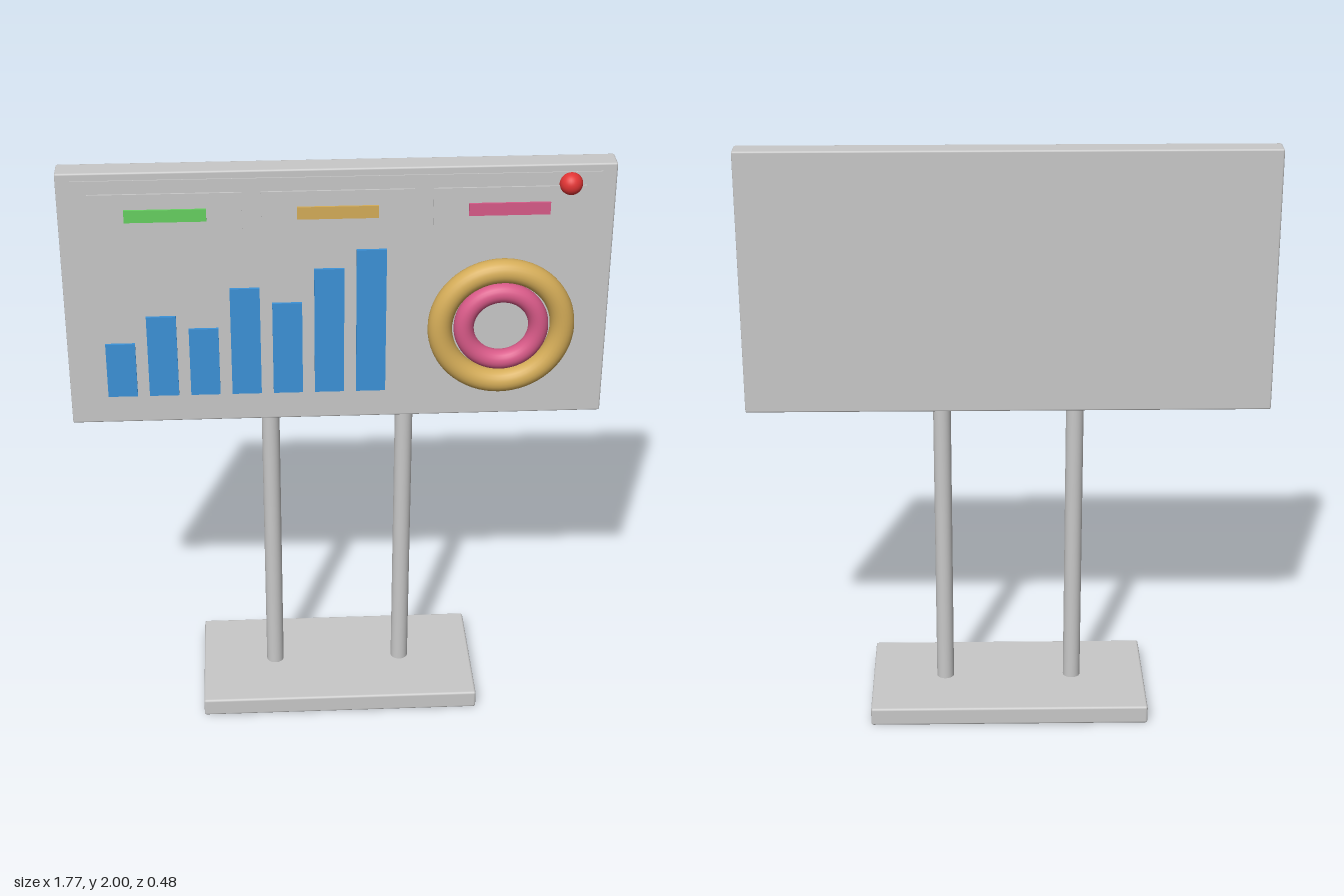
import * as THREE from 'three';
import { RoundedBoxGeometry } from 'three/addons/geometries/RoundedBoxGeometry.js';

export function createModel() {
  const model = new THREE.Group();
  model.name = 'dashboardStand';

  const material = (name, color) => {
    const m = new THREE.MeshStandardMaterial({ color });
    m.name = name;
    return m;
  };
  const grey = material('lightGrey', 0xc8c8c8);
  const blue = material('blue', 0x3c92d8);
  const green = material('green', 0x66d060);
  const gold = material('gold', 0xd4ac58);
  const pink = material('pink', 0xd85a88);
  const red = material('red', 0xe03434);

  const add = (name, geometry, mat, x, y, z) => {
    const mesh = new THREE.Mesh(geometry, mat);
    mesh.name = name;
    mesh.position.set(x, y, z);
    model.add(mesh);
    return mesh;
  };
  // Flat plate given its bottom edge and its back and front depth
  const plate = (name, mat, x, bottom, w, h, back, front) =>
    add(name, new THREE.BoxGeometry(w, h, front - back), mat, x, bottom + h / 2, (back + front) / 2);

  // Stand
  add('base', new RoundedBoxGeometry(0.964, 0.065, 0.48, 2, 0.008), grey, 0, 0.0325, 0);
  for (const side of [-1, 1]) {
    add(side < 0 ? 'rightPost' : 'leftPost',
      new THREE.CylinderGeometry(0.03, 0.03, 1.07, 32), grey, side * 0.225, 0.585, 0);
  }

  // Display board and its screen
  add('board', new RoundedBoxGeometry(1.77, 0.9, 0.08, 2, 0.006), grey, 0, 1.55, 0);
  plate('screen', grey, 0, 1.13, 1.676, 0.845, 0.036, 0.044);

  // Header cards, each with a coloured strip
  [green, gold, pink].forEach((mat, i) => {
    const x = (i - 1) * 0.546;
    plate('headerCard', grey, x, 1.775, 0.485, 0.155, 0.042, 0.05);
    plate('headerStrip', mat, x, 1.836, 0.26, 0.042, 0.048, 0.057);
  });

  // Bar chart
  [1.4, 1.497, 1.45, 1.593, 1.537, 1.657, 1.722].forEach((top, i) => {
    plate('chartBar', blue, -0.712 + i * 0.1368, 1.205, 0.097, top - 1.205, 0.043, 0.053);
  });

  // Ring chart
  add('outerRing', new THREE.TorusGeometry(0.2, 0.04, 24, 64), gold, 0.53, 1.456, 0.088);
  add('innerRing', new THREE.TorusGeometry(0.122, 0.033, 24, 64), pink, 0.53, 1.456, 0.088);

  // Status light
  add('statusLight', new THREE.SphereGeometry(0.037, 32, 20), red, 0.738, 1.937, 0.046);

  return model;
}
